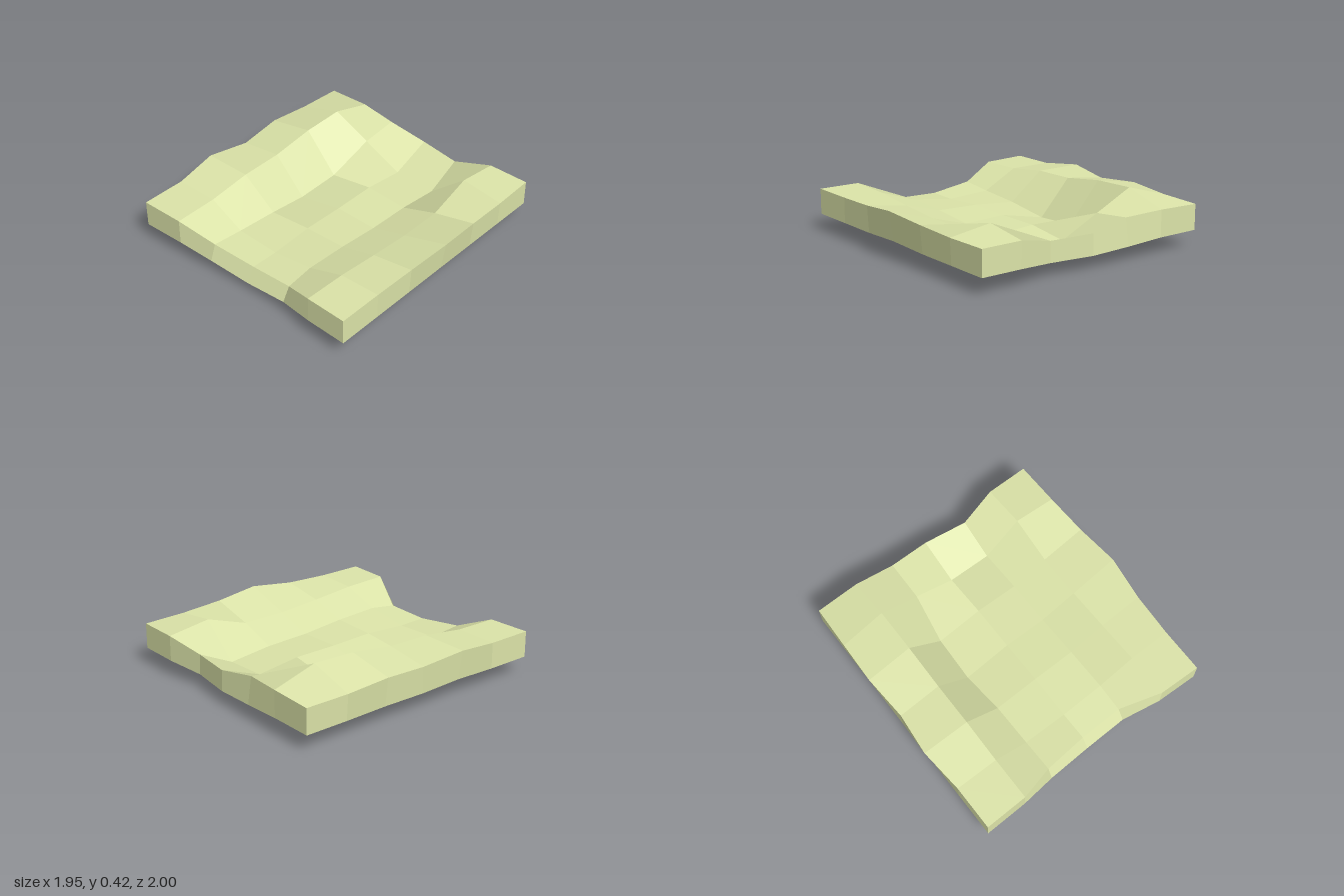
import * as THREE from 'three';

const N = 7;
const xs = [-0.94, -0.61, -0.34, 0, 0.33, 0.615, 0.93];
const zs = [-1, -0.67, -0.34, 0, 0.33, 0.66, 1];

// Heights, one row per z from back to front, one column per x
const topHeights = [
  [0.315, 0.325, 0.31, 0.255, 0.25, 0.315, 0.315],
  [0.32, 0.42, 0.28, 0.135, 0.12, 0.36, 0.315],
  [0.345, 0.41, 0.12, 0.175, 0.155, 0.25, 0.33],
  [0.32, 0.365, 0.10, 0.175, 0.165, 0.25, 0.36],
  [0.36, 0.36, 0.155, 0.185, 0.195, 0.275, 0.325],
  [0.32, 0.32, 0.18, 0.165, 0.21, 0.305, 0.315],
  [0.32, 0.315, 0.205, 0.17, 0.18, 0.315, 0.315],
];
const bottomHeights = [
  [0.125, 0.125, 0.11, 0.10, 0.10, 0.125, 0.125],
  [0.125, 0.115, 0.06, 0.045, 0.01, 0.10, 0.125],
  [0.13, 0.10, 0.04, 0.04, 0.03, 0.105, 0.125],
  [0.125, 0.09, 0.00, 0.035, 0.04, 0.11, 0.14],
  [0.135, 0.105, 0.045, 0.05, 0.05, 0.115, 0.125],
  [0.125, 0.12, 0.05, 0.045, 0.045, 0.12, 0.125],
  [0.125, 0.125, 0.085, 0.06, 0.08, 0.125, 0.125],
];

// Uneven rims: side bulge per row, back and front pull-in per column
const topRim = {
  right: [0, 0.012, 0.025, 0, 0.035, 0, 0],
  left: [0, 0.01, 0.02, 0.045, 0.012, 0, 0],
  back: [0, 0, 0.035, 0.015, 0.06, 0, 0],
  front: [0, 0.01, 0.09, 0.125, 0.13, 0.01, 0],
};
const bottomRim = {
  right: [0, 0, 0, 0, 0, 0, 0],
  left: [0, 0, 0, 0.01, 0, 0, 0],
  back: [0, 0, 0.005, 0.01, 0.055, 0, 0],
  front: [0, 0.01, 0.045, 0.065, 0.07, 0.01, 0],
};
// Sideways wander of the foot of the steep slope, per row
const slopeFoot = [0.03, 0.03, -0.01, -0.02, 0, 0, 0];

function gridPoint(r, c, heights, rim) {
  let x = xs[c], z = zs[r];
  if (c === 0) x -= rim.right[r];
  if (c === 2) x += slopeFoot[r];
  if (c === N - 1) x += rim.left[r];
  if (r === 0) z += rim.back[c];
  if (r === N - 1) z -= rim.front[c];
  return new THREE.Vector3(x, heights[r][c], z);
}
const top = (r, c) => gridPoint(r, c, topHeights, topRim);
const bottom = (r, c) => gridPoint(r, c, bottomHeights, bottomRim);

// Faceted surface: each quad has one shared normal, corners counter-clockwise
function facetGeometry(quads) {
  const positions = [], normals = [];
  for (const [a, b, c, d] of quads) {
    const normal = c.clone().sub(a).cross(d.clone().sub(b)).normalize();
    for (const p of [a, b, c, a, c, d]) {
      positions.push(p.x, p.y, p.z);
      normals.push(normal.x, normal.y, normal.z);
    }
  }
  const geometry = new THREE.BufferGeometry();
  geometry.setAttribute('position', new THREE.Float32BufferAttribute(positions, 3));
  geometry.setAttribute('normal', new THREE.Float32BufferAttribute(normals, 3));
  return geometry;
}

export function createModel() {
  const group = new THREE.Group();
  group.name = 'terrainTile';
  const material = new THREE.MeshStandardMaterial({ color: 0xdbe3a8 });
  const addMesh = (name, quads) => {
    const mesh = new THREE.Mesh(facetGeometry(quads), material);
    mesh.name = name;
    group.add(mesh);
  };

  // Uneven ground and its underside
  const ground = [], underside = [];
  for (let r = 0; r < N - 1; r++) {
    for (let c = 0; c < N - 1; c++) {
      ground.push([top(r, c), top(r + 1, c), top(r + 1, c + 1), top(r, c + 1)]);
      underside.push([bottom(r, c), bottom(r, c + 1), bottom(r + 1, c + 1), bottom(r + 1, c)]);
    }
  }
  addMesh('ground', ground);
  addMesh('underside', underside);

  // Four rim walls, each walked left to right as seen from outside
  const walls = {
    frontWall: i => [N - 1, i],
    leftWall: i => [N - 1 - i, N - 1],
    backWall: i => [0, N - 1 - i],
    rightWall: i => [i, 0],
  };
  for (const [name, at] of Object.entries(walls)) {
    const wall = [];
    for (let i = 0; i < N - 1; i++) {
      const a = at(i), b = at(i + 1);
      wall.push([bottom(...a), bottom(...b), top(...b), top(...a)]);
    }
    addMesh(name, wall);
  }
  return group;
}
